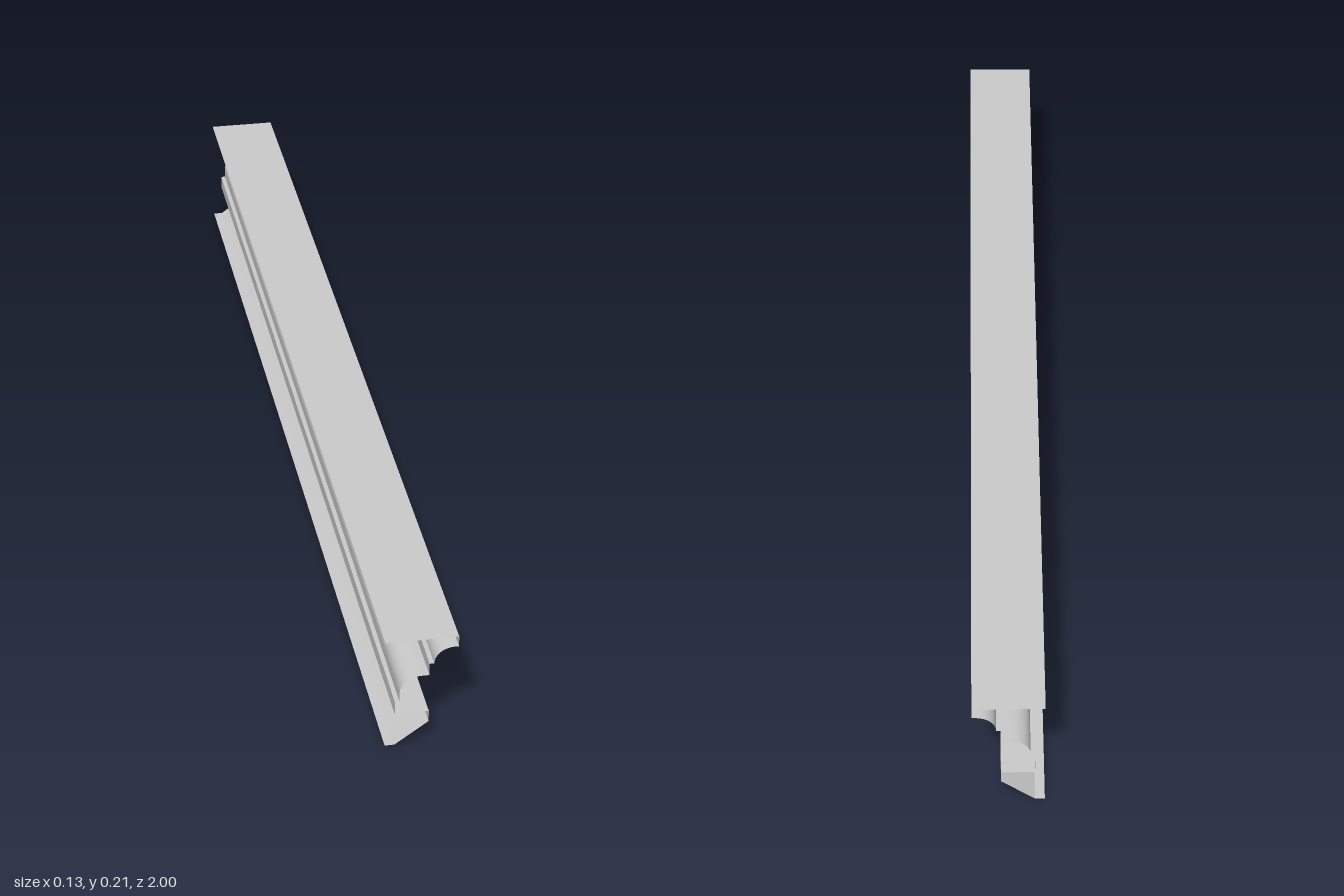
import * as THREE from 'three';

const material = new THREE.MeshStandardMaterial({ color: 0xcccccc, side: THREE.DoubleSide });

// Sweep an open run of [x, y] points along z; normals are smooth within the run
function strip(name, points) {
  const n = points.length - 1;
  const geometry = new THREE.PlaneGeometry(1, 2, n, 1);
  const pos = geometry.attributes.position;
  for (let i = 0; i < pos.count; i++) {
    const [x, y] = points[i % (n + 1)];
    pos.setXYZ(i, x, y, i <= n ? -1 : 1);
  }
  geometry.computeVertexNormals();
  const mesh = new THREE.Mesh(geometry, material);
  mesh.name = name;
  return mesh;
}

// Quarter ellipse leaving (x0, y0) horizontally and reaching (x1, y1) vertically
function quarter(x0, y0, x1, y1, segments = 8) {
  return Array.from({ length: segments + 1 }, (_, i) => {
    const t = (i / segments) * Math.PI / 2;
    return [x0 + (x1 - x0) * Math.sin(t), y1 + (y0 - y1) * Math.cos(t)];
  });
}

export function createModel() {
  const group = new THREE.Group();
  group.name = 'crownMoulding';

  // Profile from top to bottom; each run meets the next at a sharp edge
  const runs = [
    ['topPlate', [[-0.063, 0.21], [0.063, 0.21]]],
    ['topLip', [[0.063, 0.21], [0.063, 0.19]]],
    ['coveShelf', [[0.063, 0.19], [0.055, 0.19]]],
    ['cove', quarter(0.055, 0.19, 0.021, 0.16)],
    ['filletLedge', [[0.021, 0.16], [0.013, 0.16]]],
    ['fillet', [[0.013, 0.16], [0.013, 0.137]]],
    ['roundLedge', [[0.013, 0.137], [0, 0.137]]],
    ['round', quarter(0, 0.137, -0.038, 0.107)],
    ['roundFace', [[-0.038, 0.107], [-0.038, 0.088]]],
    ['beadLedge', [[-0.038, 0.088], [-0.046, 0.088]]],
    ['bead', [[-0.046, 0.088], [-0.046, 0.063]]],
    ['lowerShelf', [[-0.046, 0.063], [0.013, 0.063]]],
    ['lowerLip', [[0.013, 0.063], [0.013, 0.042]]],
    ['slope', [[0.013, 0.042], [-0.046, 0]]],
    ['foot', [[-0.046, 0], [-0.063, 0]]],
  ];
  for (const [name, points] of runs) group.add(strip(name, points));
  return group;
}
